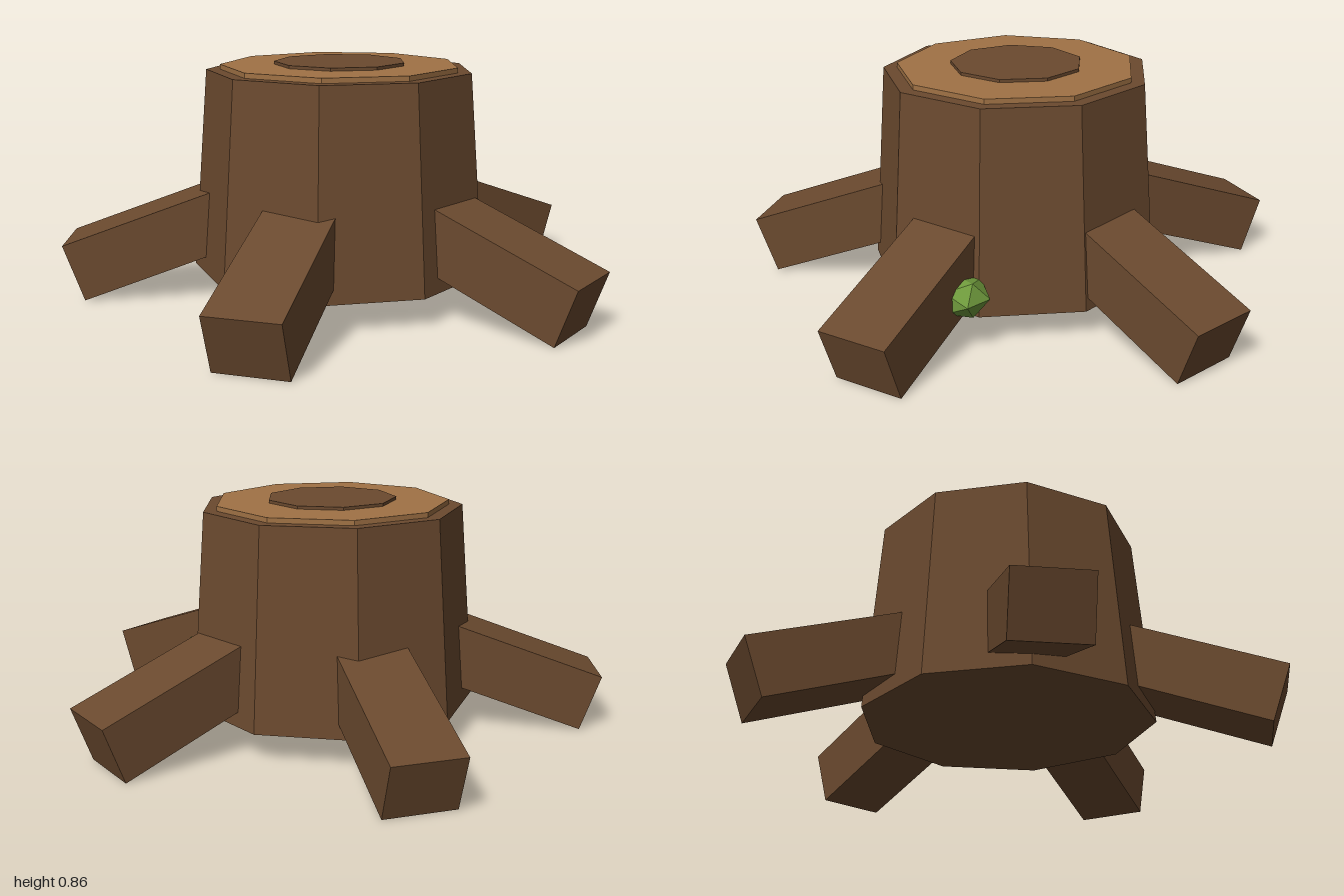
import * as THREE from 'three';

const material = (name, color) => {
  const m = new THREE.MeshStandardMaterial({ color, flatShading: true });
  m.name = name;
  return m;
};

export function createModel() {
  const bark = material('bark brown', 0x6b4a2f);
  const wood = material('cut wood', 0xa07245);
  const moss = material('moss green', 0x6f9a3c);

  const stump = new THREE.Group();
  stump.name = 'treeStump';
  // The trunk axis sits slightly off the centre of the spread roots
  const core = new THREE.Group();
  core.name = 'stumpCore';
  core.position.set(-0.01, 0, 0.05);
  stump.add(core);

  // Nine-sided layers: trunk, pale cut face, dark heartwood
  const layer = (name, mat, rTop, rBottom, y0, y1) => {
    const geo = new THREE.CylinderGeometry(rTop, rBottom, y1 - y0, 9);
    geo.rotateY(THREE.MathUtils.degToRad(10));
    const mesh = new THREE.Mesh(geo, mat);
    mesh.name = name;
    mesh.position.y = (y0 + y1) / 2;
    core.add(mesh);
  };
  layer('trunk', bark, 0.485, 0.54, 0.105, 0.832);
  layer('cutFace', wood, 0.435, 0.435, 0.825, 0.85);
  layer('heartwood', bark, 0.24, 0.24, 0.845, 0.861);

  // Five square roots sloping down and outwards
  const length = 0.7, height = 0.218, slope = THREE.MathUtils.degToRad(20);
  for (let i = 0; i < 5; i++) {
    const geo = new THREE.BoxGeometry(length, height, 0.26);
    geo.translate(-length / 2, -height / 2, 0); // origin at the outer top edge
    geo.rotateZ(-slope);
    geo.translate(1.008, 0.205, 0);
    const root = new THREE.Mesh(geo, bark);
    root.name = `root${i + 1}`;
    root.rotation.y = THREE.MathUtils.degToRad(15.2 + 72 * i);
    core.add(root);
  }

  // Moss clump tucked between the trunk and a front root
  const mossGeo = new THREE.IcosahedronGeometry(0.095, 0);
  mossGeo.rotateY(0.3);
  mossGeo.scale(1, 0.78, 1);
  const clump = new THREE.Mesh(mossGeo, moss);
  clump.name = 'mossClump';
  clump.position.set(0.4, 0.197, 0.452);
  stump.add(clump);

  return stump;
}
